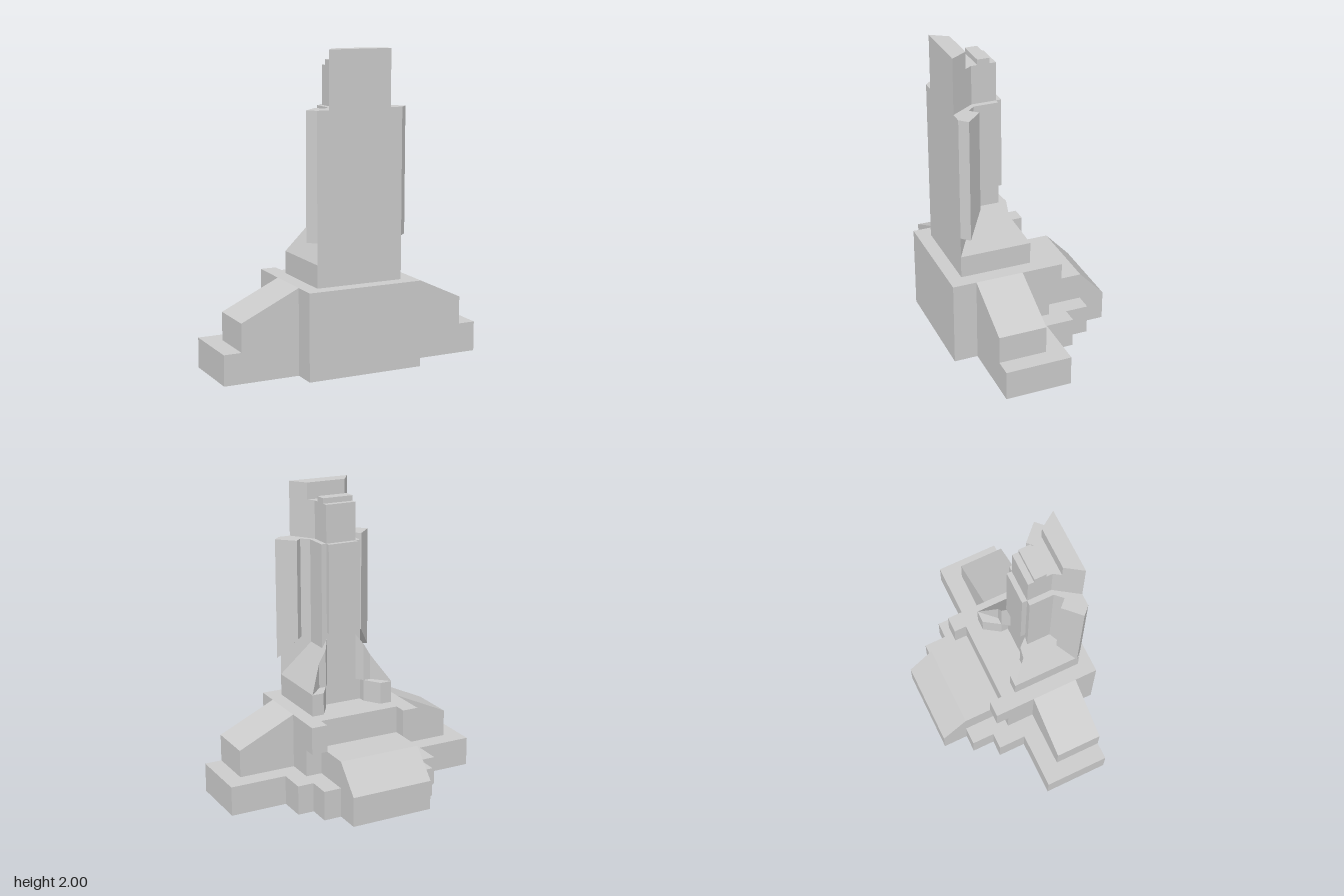
import * as THREE from 'three';

const material = new THREE.MeshStandardMaterial({ color: 0xcccccc, flatShading: true });

// Upright prism over a plan of [x, z] points; bottom and top are heights or rules (|x|, z) => y.
function prism(name, plan, bottom, top) {
  const shape = new THREE.Shape(plan.map(([x, z]) => new THREE.Vector2(x, -z)));
  const geometry = new THREE.ExtrudeGeometry(shape, { depth: 1, bevelEnabled: false });
  geometry.rotateX(-Math.PI / 2);
  const p = geometry.attributes.position;
  for (let i = 0; i < p.count; i++) {
    const level = p.getY(i) > 0.5 ? top : bottom;
    p.setY(i, typeof level === 'function' ? level(Math.abs(p.getX(i)), p.getZ(i)) : level);
  }
  geometry.computeVertexNormals();
  const mesh = new THREE.Mesh(geometry, material);
  mesh.name = name;
  return mesh;
}

const flip = (plan) => plan.map(([x, z]) => [-x, z]);
// Completes a half outline (from front to back on +x) across x = 0.
const symmetric = (half) => [...half, ...flip(half).reverse()];
const rect = (x0, x1, z0, z1) => [[x0, z0], [x1, z0], [x1, z1], [x0, z1]];

export function createModel() {
  const model = new THREE.Group();
  const add = (...args) => model.add(prism(...args));
  const pair = (name, plan, bottom, top) => {
    add(name + 'Left', plan, bottom, top);
    add(name + 'Right', flip(plan), bottom, top);
  };

  // Stepped plinth
  add('plinth', symmetric([
    [0.385, 0.545], [0.385, 0.39], [0.88, 0.39], [0.88, -0.043], [0.503, -0.043],
    [0.503, -0.228], [0.395, -0.228], [0.395, -0.38], [0.278, -0.38], [0.278, -0.548],
  ]), 0, 0.195);

  // Main hall, its overhanging rear corners and sloping side wings
  add('mainHall', rect(-0.385, 0.385, -0.11, 0.545), 0.195, 0.555);
  pair('rearCornerBlock', rect(0.278, 0.385, -0.195, -0.11), 0.375, 0.555);
  pair('sideWing', rect(0.385, 0.765, 0.077, 0.39), 0.195,
    (x) => 0.555 - (x - 0.385) * 0.47);

  // Rear annex with a sloping end
  add('annex', rect(-0.278, 0.278, -0.38, -0.11), 0.195, 0.375);
  add('annexSlope', rect(-0.278, 0.278, -0.548, -0.38), 0.195,
    (x, z) => 0.375 + (z + 0.38) * 1.07);

  // Tower shaft: flat front, flared cheeks, narrow back
  add('towerShaft', symmetric([[0.29, 0.455], [0.14, 0.3], [0.14, 0.14]]), 0.555, 1.64);
  add('towerCrown', symmetric([[0.21, 0.455], [0.105, 0.3], [0.105, 0.14]]), 1.64, 1.89);
  add('crownParapet', symmetric([[0.21, 0.455], [0.136, 0.345]]), 1.89, 2);
  add('roofRidge', rect(-0.105, 0.105, 0.18, 0.26), 1.89, 1.925);
  add('rearPanel', symmetric([[0.105, 0.14], [0.105, 0.107]]), 1.05, 1.64);

  // Foot of the tower: sloping side buttresses ending in diagonal walls,
  // flat ledges behind them and a small post in each rear corner
  const sideSlope = (x) => 0.95 - (x - 0.14) * 1.667;
  pair('sideButtress', [[0.29, -0.015], [0.29, 0.455], [0.14, 0.3], [0.14, 0.14]], 0.555, sideSlope);
  pair('rearLedge', [[0.29, -0.015], [0.14, 0.14], [0.14, 0.09], [0.21, -0.015]], 0.555, 0.7);
  pair('rearPost', [[0.14, 0.14], [0.105, 0.14], [0.14, 0.09], [0.19, 0.09]], 0.7, sideSlope);

  // Diagonal fins on the cheeks, undercut at the bottom
  pair('cheekFin', [[0.29, 0.455], [0.34, 0.405], [0.235, 0.3], [0.187, 0.349]],
    (x, z) => 0.835 + (0.745 - x - z) * 0.69, 1.64);

  return model;
}
